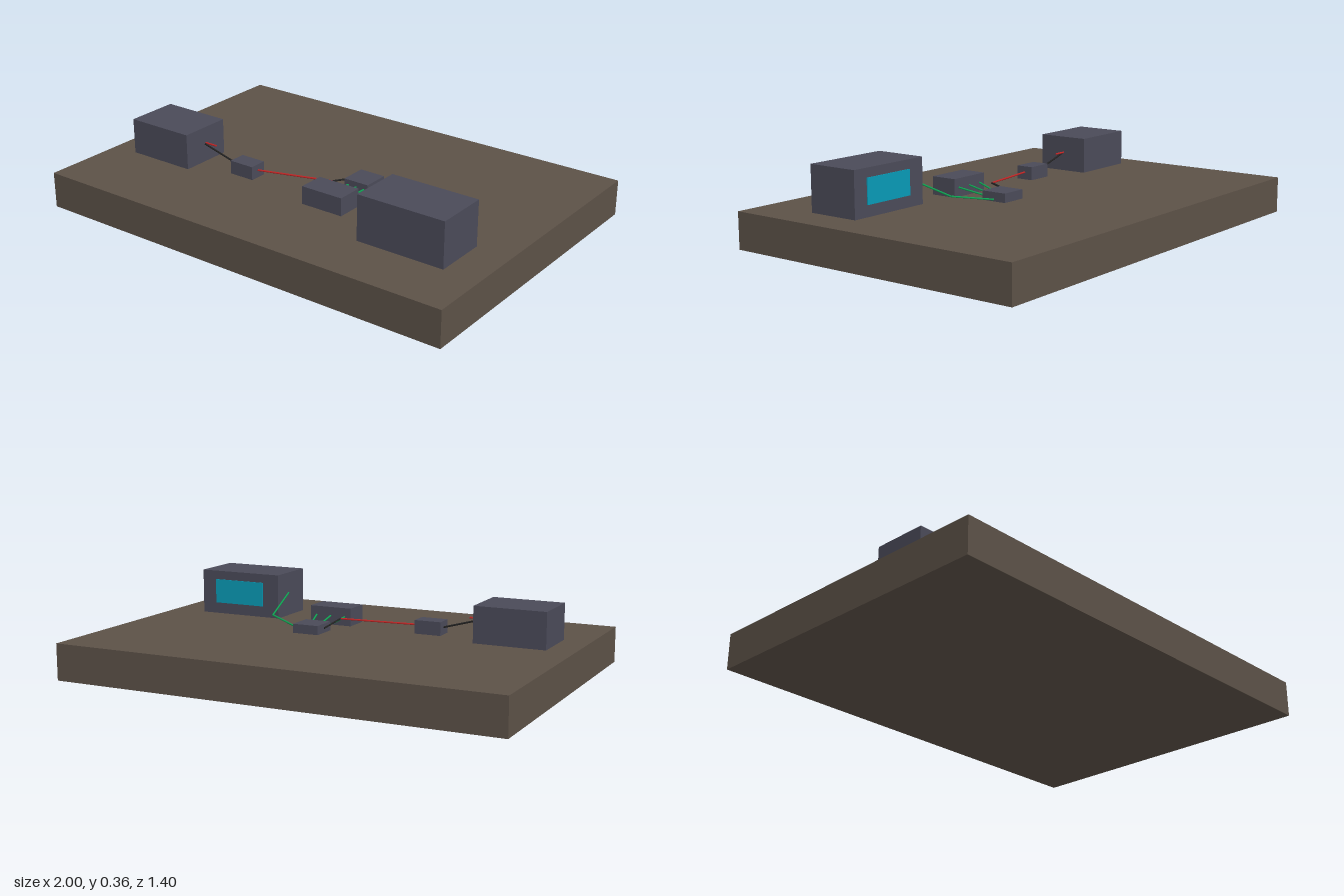
import * as THREE from 'three';

function material(name, color) {
  const m = new THREE.MeshStandardMaterial({ color });
  m.name = name;
  return m;
}

export function createModel() {
  const model = new THREE.Group();
  const boardBrown = material('board brown', 0x5c5147);
  const caseGrey = material('case grey', 0x4a4a58);
  const screenTeal = material('screen teal', 0x0899b5);
  const wireRed = material('wire red', 0xc02626);
  const wireBlack = material('wire black', 0x222222);
  const wireGreen = material('wire green', 0x10a052);

  // Box given by its extents on each axis
  function box(name, mat, [x0, x1], [y0, y1], [z0, z1]) {
    const mesh = new THREE.Mesh(new THREE.BoxGeometry(x1 - x0, y1 - y0, z1 - z0), mat);
    mesh.position.set((x0 + x1) / 2, (y0 + y1) / 2, (z0 + z1) / 2);
    mesh.name = name;
    model.add(mesh);
  }

  // Wire made of straight runs between points
  function wire(name, mat, ...points) {
    const group = new THREE.Group();
    group.name = name;
    const p = points.map((q) => new THREE.Vector3(...q));
    for (let i = 1; i < p.length; i++) {
      const run = new THREE.LineCurve3(p[i - 1], p[i]);
      const mesh = new THREE.Mesh(new THREE.CylinderGeometry(0.004, 0.004, run.getLength(), 8), mat);
      mesh.position.copy(run.getPoint(0.5));
      mesh.quaternion.setFromUnitVectors(new THREE.Vector3(0, 1, 0), run.getTangent(0));
      mesh.name = name + 'Run';
      group.add(mesh);
    }
    model.add(group);
  }

  // Base board and the component cases standing on it
  box('baseBoard', boardBrown, [-1, 1], [0, 0.16], [-0.7, 0.7]);
  box('batteryCase', caseGrey, [-0.88, -0.56], [0.16, 0.32], [0.08, 0.32]);
  box('switchCase', caseGrey, [-0.38, -0.26], [0.16, 0.22], [0.16, 0.24]);
  box('sensorCase', caseGrey, [0.06, 0.26], [0.16, 0.24], [0.18, 0.30]);
  box('controllerCase', caseGrey, [0.10, 0.22], [0.16, 0.20], [-0.06, 0.06]);
  box('displayCase', caseGrey, [0.44, 0.84], [0.16, 0.36], [0.20, 0.44]);
  box('displayScreen', screenTeal, [0.52, 0.77], [0.21, 0.32], [0.196, 0.202]);

  // Power wires
  wire('batteryLead', wireRed, [-0.56, 0.245, 0.197], [-0.50, 0.245, 0.197]);
  wire('switchLead', wireBlack, [-0.56, 0.242, 0.203], [-0.38, 0.192, 0.2]);
  wire('powerWire', wireRed, [-0.26, 0.193, 0.2], [0.08, 0.204, 0.12]);
  wire('groundWire', wireBlack, [0.08, 0.204, 0.12], [0.10, 0.18, 0]);

  // Signal wires
  for (const [x0, x1] of [[0.12, 0.09], [0.16, 0.16], [0.20, 0.23]]) {
    wire('sensorWire', wireGreen, [x0, 0.175, 0.06], [x1, 0.20, 0.18]);
  }
  wire('displayWire', wireGreen, [0.22, 0.168, 0], [0.40, 0.20, 0.08], [0.44, 0.265, 0.30]);

  return model;
}
